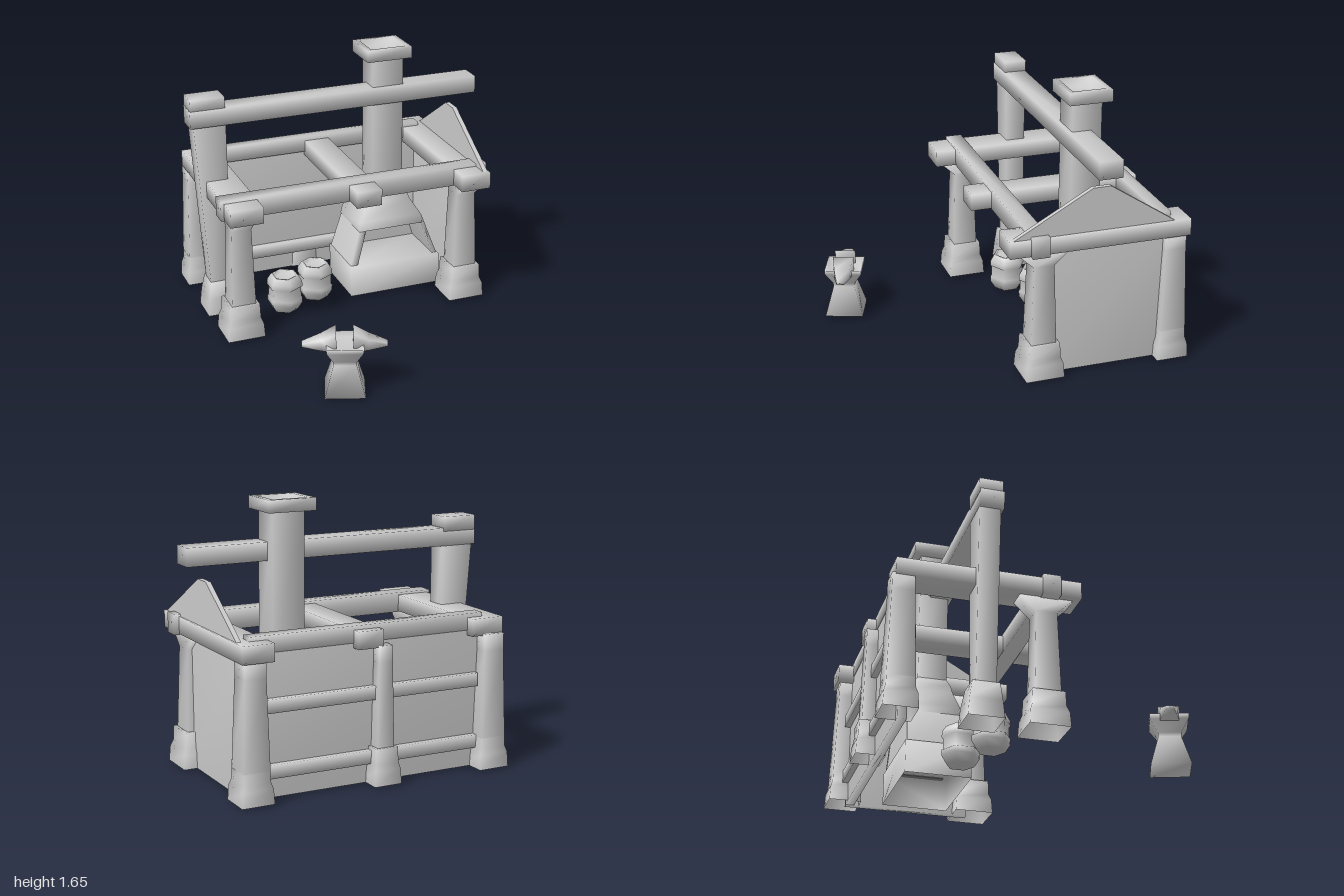
import * as THREE from 'three';

const stone = new THREE.MeshStandardMaterial({ color: 0xcccccc, side: THREE.DoubleSide });
stone.name = 'paleGrey';

// Smooth four-sided loft; each section is [y, x0, x1, z0, z1]
function loft(sections, bottom = false, top = true) {
  const pos = [], idx = [];
  sections.forEach(([y, x0, x1, z0, z1]) => pos.push(x0, y, z1, x1, y, z1, x1, y, z0, x0, y, z0));
  for (let s = 0; s < sections.length - 1; s++) {
    for (let i = 0; i < 4; i++) {
      const a = s * 4 + i, b = s * 4 + (i + 1) % 4;
      idx.push(a, b, b + 4, a, b + 4, a + 4);
    }
  }
  const t = (sections.length - 1) * 4;
  if (top) idx.push(t, t + 1, t + 2, t, t + 2, t + 3);
  if (bottom) idx.push(0, 2, 1, 0, 3, 2);
  const g = new THREE.BufferGeometry();
  g.setAttribute('position', new THREE.Float32BufferAttribute(pos, 3));
  g.setIndex(idx);
  g.computeVertexNormals();
  return g;
}

const block = (x0, x1, y0, y1, z0, z1) => loft([[y0, x0, x1, z0, z1], [y1, x0, x1, z0, z1]], true);

export function createModel() {
  const model = new THREE.Group();
  model.name = 'smithy';
  const add = (name, geometry, parent = model) => {
    const m = new THREE.Mesh(geometry, stone);
    m.name = name;
    parent.add(m);
    return m;
  };

  // Posts: flared hollow foot, then a slightly tapered shaft
  function post(name, x, z, foot, shaft, top, flare) {
    const sq = (y, h, k = h) => [y, x - h, x + h, z - k, z + k];
    add(name + 'Foot', loft([sq(0.01, foot), sq(0.1, foot * 0.95), sq(0.14, foot * 0.83),
      sq(0.23, foot * 0.8), sq(0.23, shaft)], false, false));
    const shaftRings = [sq(0.2, shaft * 1.05), sq(0.73, shaft * 0.85)];
    if (flare) shaftRings.push(sq(top, shaft * 0.85, 0.17));
    else shaftRings.push(sq(top, shaft * 0.85));
    add(name + 'Shaft', loft(shaftRings));
  }
  post('frontRightPost', -0.765, -0.055, 0.12, 0.075, 0.83, true);
  post('frontLeftPost', 0.75, -0.075, 0.12, 0.075, 0.83, true);
  post('backRightPost', -0.8, -0.9, 0.1, 0.078, 0.83);
  post('backLeftPost', 0.76, -0.9, 0.1, 0.078, 0.83);
  post('backMiddlePost', -0.07, -0.91, 0.088, 0.052, 0.83);

  // Tall ridge post, wider at the top
  add('ridgePostFoot', loft([[0.01, -0.9, -0.68, -0.53, -0.32], [0.12, -0.89, -0.69, -0.52, -0.33],
    [0.23, -0.87, -0.71, -0.5, -0.34]]));
  add('ridgePostShaft', loft([[0.2, -0.865, -0.73, -0.48, -0.36], [1.4, -0.945, -0.73, -0.49, -0.36]]));
  add('ridgePostCap', block(-0.955, -0.735, 1.38, 1.47, -0.495, -0.35));

  // Beams
  add('ridgeBeam', block(-0.96, 0.955, 1.29, 1.4, -0.49, -0.345));
  add('frontBeam', block(-0.89, 0.875, 0.815, 0.94, -0.09, 0.015));
  add('backBeam', block(-0.76, 0.76, 0.85, 0.95, -0.89, -0.81));
  add('rightCrossBeam', block(-0.87, -0.66, 0.82, 0.925, -0.945, 0.145));
  add('middleCrossBeam', block(-0.06, 0.105, 0.82, 0.925, -0.945, 0.145));
  add('leftCrossBeam', block(0.65, 0.845, 0.82, 0.925, -0.985, 0.145));

  // Walls and rails
  add('backWall', block(-0.74, 0.74, 0.01, 0.9, -0.885, -0.83));
  for (const y of [0.13, 0.51]) add('backWallRail', block(-0.72, 0.72, y, y + 0.08, -0.92, -0.79));
  add('sideWall', block(0.74, 0.785, 0.01, 0.86, -0.88, -0.1));

  // Gable panel over the side wall
  const gable = new THREE.Shape([[-0.13, 0.92], [0.36, 1.195], [0.47, 1.195], [0.89, 0.92]]
    .map(([u, y]) => new THREE.Vector2(u, y)));
  const gableMesh = add('gable', new THREE.ExtrudeGeometry(gable, { depth: 0.03, bevelEnabled: false }));
  gableMesh.rotation.y = Math.PI / 2;
  gableMesh.position.x = 0.805;

  // Forge: hearth, side cheeks, back, hood with chimney
  const forge = new THREE.Group();
  forge.name = 'forge';
  model.add(forge);
  add('hearth', loft([[0.01, 0.055, 0.68, -0.66, -0.25], [0.215, 0.055, 0.68, -0.66, -0.25]]), forge);
  add('hearthRightCheek', loft([[0.21, 0.06, 0.11, -0.65, -0.28], [0.45, 0.135, 0.185, -0.64, -0.31]]), forge);
  add('hearthLeftCheek', loft([[0.21, 0.645, 0.675, -0.65, -0.28], [0.49, 0.55, 0.575, -0.64, -0.31]]), forge);
  add('hearthBack', loft([[0.21, 0.06, 0.67, -0.65, -0.61], [0.46, 0.14, 0.58, -0.64, -0.6]]), forge);
  add('hood', loft([[0.44, 0.13, 0.575, -0.65, -0.3], [0.5, 0.14, 0.57, -0.64, -0.31],
    [0.62, 0.205, 0.495, -0.6, -0.34], [0.67, 0.22, 0.485, -0.585, -0.35],
    [0.72, 0.25, 0.455, -0.555, -0.37]], false, false), forge);
  add('chimney', loft([[0.72, 0.25, 0.455, -0.555, -0.37], [1.59, 0.25, 0.455, -0.555, -0.37]], false, false), forge);
  add('chimneyCap', loft([[1.58, 0.25, 0.455, -0.555, -0.37], [1.58, 0.2, 0.5, -0.605, -0.335],
    [1.655, 0.2, 0.5, -0.605, -0.335], [1.655, 0.235, 0.465, -0.575, -0.365],
    [1.6, 0.26, 0.44, -0.555, -0.395]]), forge);

  // Hexagonal barrels with two hoops and a sunken lid
  const staves = [[0, 0.0], [0.085, 0.0], [0.115, 0.05], [0.117, 0.085], [0.108, 0.09], [0.108, 0.16],
    [0.117, 0.165], [0.115, 0.2], [0.092, 0.238], [0.075, 0.238], [0.072, 0.215], [0, 0.215]]
    .map(([r, y]) => new THREE.Vector2(r, y));
  for (const [x, y, z] of [[-0.405, 0.01, -0.26], [-0.157, 0, -0.375]]) {
    add('barrel', new THREE.LatheGeometry(staves, 6)).position.set(x, y, z);
  }

  // Anvil: waisted body with a tapering horn at each end
  const anvil = new THREE.Group();
  anvil.name = 'anvil';
  anvil.position.set(-0.412, 0, 0.842);
  anvil.rotation.y = -0.345;
  model.add(anvil);
  const ring = (y, h, k = h) => [y, -h, h, -k, k];
  add('anvilBody', loft([ring(0.01, 0.12), ring(0.2, 0.068), ring(0.225, 0.07), ring(0.3, 0.105, 0.115),
    ring(0.33, 0.11, 0.117), ring(0.31, 0.07, 0.08)], true), anvil);
  for (const side of [0, 1]) {
    // Lofted upright, then laid over to point outwards
    const horn = loft([[0.05, -0.1, 0.015, -0.065, 0.065], [0.14, -0.055, 0.01, -0.05, 0.05],
      [0.25, -0.02, 0, -0.022, 0.022]], true);
    horn.rotateZ(-Math.PI / 2);
    horn.scale(1, -1, 1);
    horn.index.array.reverse();
    horn.scale(1, -1, 1);
    horn.index.array.reverse();
    if (side) horn.rotateY(Math.PI);
    horn.translate(0, 0.3, 0);
    add('anvilHorn', horn, anvil);
  }
  return model;
}
